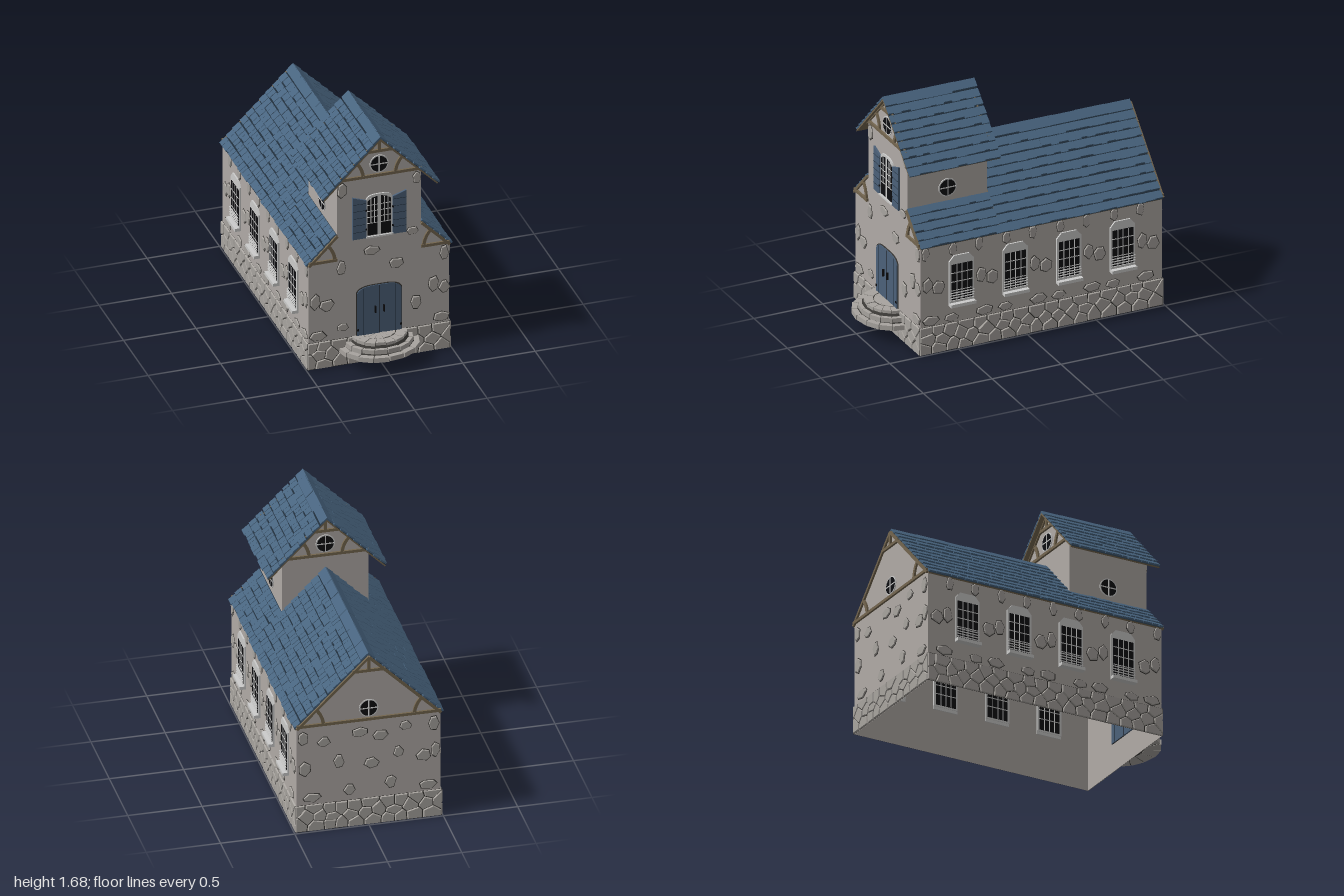
import * as THREE from 'three';
import { mergeGeometries } from 'three/addons/utils/BufferGeometryUtils.js';

const mat = (name, color, side = THREE.FrontSide) => {
  const m = new THREE.MeshStandardMaterial({ color, side });
  m.name = name;
  return m;
};

export function createModel() {
  const M = {
    plaster: mat('plaster', 0xb0aaa6, THREE.DoubleSide), stone: mat('stone', 0xa8a49f),
    mortar: mat('mortar', 0x3a3835, THREE.DoubleSide), tile: mat('roofTile', 0x48647f),
    gap: mat('roofGap', 0x1f2d3a), wood: mat('bluePaint', 0x4c6179), timber: mat('timber', 0x74664f),
    trim: mat('trim', 0xcccccb), glass: mat('glass', 0x0d0d10),
  };
  let seed = 7;
  const rnd = () => (seed = (seed * 16807) % 2147483647) / 2147483647;
  const range = (a, b) => a + (b - a) * rnd();
  const model = new THREE.Group();
  model.name = 'house';

  const add = (parent, name, geo, material, x = 0, y = 0, z = 0) => {
    const m = new THREE.Mesh(geo, material);
    m.name = name;
    m.position.set(x, y, z);
    parent.add(m);
    return m;
  };
  const box = (p, name, material, w, h, d, x, y, z) => add(p, name, new THREE.BoxGeometry(w, h, d), material, x, y, z);
  const shapeOf = pts => new THREE.Shape(pts.map(([x, y]) => new THREE.Vector2(x, y)));
  // plate centred on the wall plane, so it shows on both sides
  const plate = (p, name, material, shape, t) =>
    add(p, name, new THREE.ExtrudeGeometry(shape, { depth: t, bevelEnabled: false, curveSegments: 8 }), material, 0, 0, -t / 2);

  // each wall is a group with local x to the right, y up and z outward
  const panel = (name, x, z, rot) => {
    const g = new THREE.Group();
    g.name = name;
    g.position.set(x, 0, z);
    g.rotation.y = rot;
    model.add(g);
    return g;
  };

  // bevelled stone from a counter-clockwise polygon
  const polyStone = (pts, k0, k1, d) => {
    const n = pts.length, c = [0, 1].map(i => pts.reduce((s, p) => s + p[i], 0) / n);
    const at = (p, k, z) => [c[0] + (p[0] - c[0]) * k, c[1] + (p[1] - c[1]) * k, z];
    const pos = [];
    pts.forEach((p, i) => {
      const q = pts[(i + 1) % n];
      const a = at(p, k0, 0.001), b = at(q, k0, 0.001), e = at(q, k1, d), f = at(p, k1, d);
      pos.push(...a, ...b, ...e, ...a, ...e, ...f, ...f, ...e, c[0], c[1], d);
    });
    const g = new THREE.BufferGeometry();
    g.setAttribute('position', new THREE.Float32BufferAttribute(pos, 3));
    g.computeVertexNormals();
    return g;
  };

  // irregular masonry: jittered cells clipped against each other
  const clip = (poly, a, b) => {
    const f = p => (p[0] - (a[0] + b[0]) / 2) * (b[0] - a[0]) + (p[1] - (a[1] + b[1]) / 2) * (b[1] - a[1]);
    const out = [];
    poly.forEach((p, i) => {
      const q = poly[(i + 1) % poly.length], fp = f(p), fq = f(q);
      if (fp <= 0) out.push(p);
      if (fp * fq < 0) out.push([0, 1].map(k => p[k] + (q[k] - p[k]) * fp / (fp - fq)));
    });
    return out;
  };
  const masonry = (g, w, h, cols, rows) => {
    const s = [];
    for (let r = 0; r < rows; r++) for (let c = 0; c < cols; c++)
      s.push([-w / 2 + (c + 0.5 + (r % 2 ? 0.25 : -0.25) + range(-0.25, 0.25)) * w / cols, (r + 0.5 + range(-0.25, 0.25)) * h / rows]);
    const geos = s.map(a => {
      let poly = [[-w / 2, 0], [w / 2, 0], [w / 2, h], [-w / 2, h]];
      for (const b of s) if (b !== a) poly = clip(poly, a, b);
      return polyStone(poly, 0.94, 0.83, 0.01);
    });
    add(g, 'foundationMortar', new THREE.PlaneGeometry(w, h), M.mortar, 0, h / 2, 0.002);
    add(g, 'foundationStones', mergeGeometries(geos), M.stone, 0, 0, 0.001);
  };
  // scattered stones showing through the plaster: [x, y, width, height]
  const looseStones = (g, list) => {
    const dark = [], light = [];
    for (const [x, y, w, h] of list) {
      const n = 6, pts = [], turn = range(0, 1);
      for (let i = 0; i < n; i++) {
        const t = (i + turn + range(-0.25, 0.25)) / n * Math.PI * 2;
        pts.push([x + Math.cos(t) * w * 0.54, y + Math.sin(t) * h * 0.54]);
      }
      dark.push(polyStone(pts, 1.03, 1, 0.003));
      light.push(polyStone(pts, 0.95, 0.8, 0.01));
    }
    add(g, 'stoneOutlines', mergeGeometries(dark), M.mortar);
    add(g, 'wallStones', mergeGeometries(light), M.stone);
  };

  // timber framing
  const bar = (g, x1, y1, x2, y2, w = 0.02) => {
    const m = box(g, 'timberBeam', M.timber, Math.hypot(x2 - x1, y2 - y1), w, 0.014, (x1 + x2) / 2, (y1 + y2) / 2, 0.008);
    m.rotation.z = Math.atan2(y2 - y1, x2 - x1);
  };
  const brace = (g, s, hw, y, r = 0.19) => {
    const sh = new THREE.Shape(), a = s < 0 ? 0 : Math.PI * 0.75, b = a + Math.PI / 4;
    sh.absarc(s * hw, y, r, a, b, false);
    sh.absarc(s * hw, y, r - 0.022, b, a, true);
    add(g, 'curvedBrace', new THREE.ExtrudeGeometry(sh, { depth: 0.013, bevelEnabled: false, curveSegments: 6 }), M.timber);
  };
  const roundWindow = (g, x, y) => {
    const disc = (name, r, t, m) => { add(g, name, new THREE.CylinderGeometry(r, r, t, 20).rotateX(Math.PI / 2), m, x, y, 0); };
    disc('roundWindowFrame', 0.065, 0.012, M.trim);
    disc('roundWindowGlass', 0.057, 0.016, M.glass);
    box(g, 'roundWindowBar', M.trim, 0.008, 0.115, 0.02, x, y, 0);
    box(g, 'roundWindowBar', M.trim, 0.115, 0.008, 0.02, x, y, 0);
  };
  const gable = (g, hw, y, collar) => {
    const top = y + hw, cx = top - collar;
    bar(g, -hw, y + 0.01, hw, y + 0.01);
    bar(g, -cx, collar, cx, collar);
    bar(g, 0, collar, 0, top - 0.02);
    for (const s of [-1, 1]) {
      bar(g, s * hw, y - 0.008, 0, top - 0.012, 0.018);
      brace(g, s, hw, y);
    }
    roundWindow(g, 0, y + 0.09);
  };

  // front wall with the tower face
  const front = panel('frontWall', 0, 0.77, 0);
  const half = [[0.485, 0], [0.485, 0.785], [0.29, 0.98], [0.29, 1.37]];
  add(front, 'frontPlaster', new THREE.ShapeGeometry(shapeOf([...half, [0, 1.66], ...half.map(([x, y]) => [-x, y]).reverse()])), M.plaster);
  masonry(front, 0.985, 0.2, 10, 3);
  gable(front, 0.29, 1.37, 1.56);
  for (const s of [-1, 1]) {
    bar(front, s * 0.29, 0.795, s * 0.485, 0.795);
    bar(front, s * 0.29, 0.97, s * 0.485, 0.775, 0.018);
    brace(front, s, 0.485, 0.785);
  }
  looseStones(front, [[-0.255, 1.3, 0.07, 0.11], [0.26, 1.31, 0.055, 0.09], [-0.05, 0.82, 0.11, 0.07], [0.12, 0.7, 0.1, 0.08],
    [0.23, 0.92, 0.08, 0.06], [0.45, 0.72, 0.06, 0.11], [-0.26, 0.725, 0.06, 0.11], [-0.44, 0.5, 0.07, 0.12], [-0.36, 0.465, 0.1, 0.09],
    [0.255, 0.385, 0.07, 0.11], [0.375, 0.5, 0.07, 0.12], [0.45, 0.465, 0.08, 0.09], [-0.42, 0.245, 0.12, 0.07], [-0.25, 0.28, 0.08, 0.06], [0.43, 0.245, 0.12, 0.07]]);

  // back wall
  const back = panel('backWall', 0, -0.985, Math.PI);
  add(back, 'backPlaster', new THREE.ShapeGeometry(shapeOf([[-0.485, 0], [0.485, 0], [0.485, 0.785], [0, 1.27], [-0.485, 0.785]])), M.plaster);
  masonry(back, 0.985, 0.2, 10, 3);
  gable(back, 0.485, 0.785, 1.16);
  looseStones(back, [[-0.44, 0.7, 0.07, 0.1], [-0.3, 0.66, 0.09, 0.07], [-0.06, 0.7, 0.11, 0.07], [0.08, 0.66, 0.1, 0.08], [0.25, 0.71, 0.08, 0.07],
    [0.44, 0.7, 0.07, 0.11], [-0.43, 0.47, 0.08, 0.11], [-0.2, 0.5, 0.07, 0.1], [0.02, 0.46, 0.1, 0.08], [0.2, 0.52, 0.07, 0.08],
    [0.37, 0.47, 0.1, 0.09], [0.45, 0.5, 0.06, 0.11], [-0.38, 0.25, 0.12, 0.07], [-0.13, 0.28, 0.08, 0.08], [0.15, 0.3, 0.08, 0.09], [0.4, 0.245, 0.12, 0.07]]);

  // side walls, four barred windows each
  for (const s of [1, -1]) {
    const side = panel(s > 0 ? 'leftWall' : 'rightWall', s * 0.485, 0, s * Math.PI / 2);
    add(side, 'sidePlaster', new THREE.PlaneGeometry(1.755, 0.785), M.plaster, s * 0.1075, 0.3925, 0);
    const base = new THREE.Group();
    base.name = 'sideFoundation';
    base.position.x = s * 0.1075;
    side.add(base);
    masonry(base, 1.77, 0.2, 17, 3);
    const stones = [];
    for (let i = 0; i < 5; i++) {
      const z = 0.475 - i * 0.39;
      stones.push([-s * (z + 0.245), 0.5, 0.07, 0.11], [-s * (z + 0.165), 0.47, 0.09, 0.1], [-s * (z + 0.22), 0.24, 0.12, 0.07], [-s * (z + 0.26), 0.73, 0.055, 0.1]);
      if (i > 3) continue;
      stones.push([-s * (z + 0.06), 0.73, 0.06, 0.09], [-s * (z + 0.07), 0.235, 0.1, 0.06]);
      const w = new THREE.Group();
      w.name = 'sideWindow';
      w.position.x = -s * z;
      side.add(w);
      plate(w, 'windowFrame', M.trim, shapeOf([[-0.09, 0.34], [0.09, 0.34], [0.09, 0.64], [0.055, 0.68], [-0.055, 0.68], [-0.09, 0.64]]), 0.022);
      box(w, 'windowGlass', M.glass, 0.15, 0.265, 0.027, 0, 0.485, 0);
      for (const x of [-0.038, 0, 0.038]) box(w, 'windowBar', M.trim, 0.006, 0.265, 0.031, x, 0.485, 0);
      for (const y of [0.43, 0.493, 0.556]) box(w, 'windowBar', M.trim, 0.15, 0.006, 0.031, 0, y, 0);
      for (let k = 0; k < 4; k++) box(w, 'windowRail', M.trim, 0.17, 0.006, 0.006, 0, 0.36 + k * 0.018, 0.02);
      box(w, 'windowSill', M.trim, 0.18, 0.022, 0.05, 0, 0.33, 0.018);
    }
    looseStones(side, stones);

    // tower side wall
    const t = panel('towerSideWall', s * 0.29, 0, s * Math.PI / 2);
    add(t, 'towerPlaster', new THREE.PlaneGeometry(0.58, 0.4), M.plaster, -s * 0.48, 1.17, 0);
    roundWindow(t, -s * 0.48, 1.08);
  }

  // tower back wall
  const towerBack = panel('towerBackWall', 0, 0.19, Math.PI);
  add(towerBack, 'towerPlaster', new THREE.ShapeGeometry(shapeOf([[-0.29, 0.975], [0.29, 0.975], [0.29, 1.37], [0, 1.66], [-0.29, 1.37]])), M.plaster);
  gable(towerBack, 0.29, 1.37, 1.56);

  // door
  const arch = (hw, y0, ySpring, yTop) => {
    const sh = new THREE.Shape();
    sh.moveTo(-hw, y0).lineTo(hw, y0).lineTo(hw, ySpring);
    sh.bezierCurveTo(hw * 0.85, yTop, hw * 0.5, yTop, 0, yTop);
    sh.bezierCurveTo(-hw * 0.5, yTop, -hw * 0.85, yTop, -hw, ySpring);
    return sh;
  };
  plate(front, 'doorOutline', M.mortar, arch(0.159, 0.2, 0.522, 0.566), 0.012);
  plate(front, 'door', M.wood, arch(0.154, 0.2, 0.515, 0.561), 0.022);
  box(front, 'doorGap', M.glass, 0.003, 0.355, 0.024, 0, 0.38, 0);
  for (const s of [-1, 1]) {
    box(front, 'plankGap', M.gap, 0.003, 0.345, 0.024, s * 0.112, 0.375, 0);
    box(front, 'doorHandle', M.glass, 0.008, 0.05, 0.02, s * 0.03, 0.385, 0.016);
    box(front, 'doorHinge', M.glass, 0.012, 0.015, 0.02, s * 0.147, 0.245, 0.006);
  }

  // upper window with shutters
  plate(front, 'upperWindowFrame', M.trim, arch(0.093, 0.925, 1.2, 1.24), 0.02);
  box(front, 'upperWindowSill', M.trim, 0.19, 0.012, 0.025, 0, 0.928, 0.008);
  for (const s of [-1, 1]) {
    plate(front, 'upperWindowGlass', M.glass, shapeOf([[0.012, 0.94], [0.08, 0.94], [0.08, 1.195], [0.055, 1.215], [0.012, 1.225]].map(([x, y]) => [s * x, y])), 0.025);
    for (const x of [0.034, 0.058]) box(front, 'windowBar', M.trim, 0.005, 0.185, 0.029, s * x, 1.122, 0);
    for (const y of [1.03, 1.075, 1.12, 1.165]) box(front, 'windowBar', M.trim, 0.07, 0.005, 0.029, s * 0.046, y, 0);
    const sh = shapeOf([[0.092, 0.925], [0.185, 0.925], [0.185, 1.237], [0.092, 1.205]].map(([x, y]) => [s * x, y]));
    add(front, 'shutter', new THREE.ExtrudeGeometry(sh, { depth: 0.014, bevelEnabled: false }), M.wood, 0, 0, 0.002);
    for (let k = 1; k < 6; k++) box(front, 'shutterGap', M.gap, 0.091, 0.003, 0.002, s * 0.1385, 0.925 + k * 0.052, 0.016);
    for (const y of [0.99, 1.13]) box(front, 'shutterHinge', M.glass, 0.01, 0.012, 0.008, s * 0.093, y, 0.015);
  }

  // rounded steps made of slabs around a dark core
  const steps = new THREE.Group();
  steps.name = 'frontSteps';
  steps.position.z = 0.77;
  steps.scale.z = 0.82;
  model.add(steps);
  add(steps, 'stepCore', new THREE.CylinderGeometry(0.17, 0.265, 0.1, 8, 1, false, -Math.PI / 2, Math.PI), M.mortar, 0, 0.15, 0);
  for (const [r0, r1, top, n] of [[0.15, 0.28, 0.135, 8], [0.12, 0.235, 0.17, 8], [0.115, 0.19, 0.205, 8], [0.004, 0.11, 0.205, 6]]) {
    for (let i = 0; i < n; i++) {
      const a = Math.PI * i / n + 0.012, b = Math.PI * (i + 1) / n - 0.012, r = r1 * range(0.97, 1);
      const at = (q, t) => [q * Math.cos(t), q * Math.sin(t)];
      const geo = new THREE.ExtrudeGeometry(shapeOf([at(r0, a), at(r, a), at(r, b), at(r0, b)]), { depth: 0.034, bevelEnabled: false });
      add(steps, 'stepSlab', geo.rotateX(Math.PI / 2), M.stone, 0, top - range(0, 0.004), 0);
    }
  }

  // 45 degree roof sections covered with uneven tiles, s measured down the slope
  const rowH = 0.0643, c = Math.SQRT1_2;
  const roof = (name, apex, firstRow, s1, z0, z1) => {
    for (const side of [1, -1]) {
      const g = new THREE.Group();
      g.name = name;
      const basis = new THREE.Matrix4().makeBasis(new THREE.Vector3(0, 0, side), new THREE.Vector3(side * c, -c, 0), new THREE.Vector3(side * c, c, 0));
      g.quaternion.setFromRotationMatrix(basis);
      g.position.y = apex;
      model.add(g);
      const s0 = firstRow * rowH, rows = Math.round((s1 - s0) / rowH), h = (s1 - s0) / rows, tiles = [];
      const boards = [M.timber, M.timber, M.timber, M.timber, M.gap, M.timber];
      box(g, 'roofBoard', boards, z1 - z0 - 0.006, s1 - s0 - 0.006, 0.01, side * (z0 + z1) / 2, (s0 + s1) / 2 - 0.003, -0.004);
      for (let r = 0; r < rows; r++) {
        const ridge = firstRow + r === 0;
        for (let z = z0; z < z1 - 0.001;) {
          let w = ridge ? range(0.14, 0.24) : range(0.035, 0.075);
          if (z1 - z - w < 0.03) w = z1 - z;
          const up = s0 + r * h - (ridge ? 0.01 : 0), down = s0 + (r + 1) * h - 0.006 + range(-0.008, 0.004);
          tiles.push(new THREE.BoxGeometry(w - 0.004, down - up, 0.011).rotateX(ridge ? 0.04 : 0.12)
            .translate(side * (z + w / 2), (up + down) / 2, 0.007 + range(0, 0.003)));
          z += w;
        }
      }
      add(g, 'roofTiles', mergeGeometries(tiles), M.tile);
    }
  };
  roof('mainRoof', 1.27, 0, 0.707, -0.988, 0.185);
  roof('frontLowerRoof', 1.27, 6.4, 0.707, 0.185, 0.776);
  roof('towerRoof', 1.66, 0, 0.566, 0.14, 0.81);

  return model;
}
